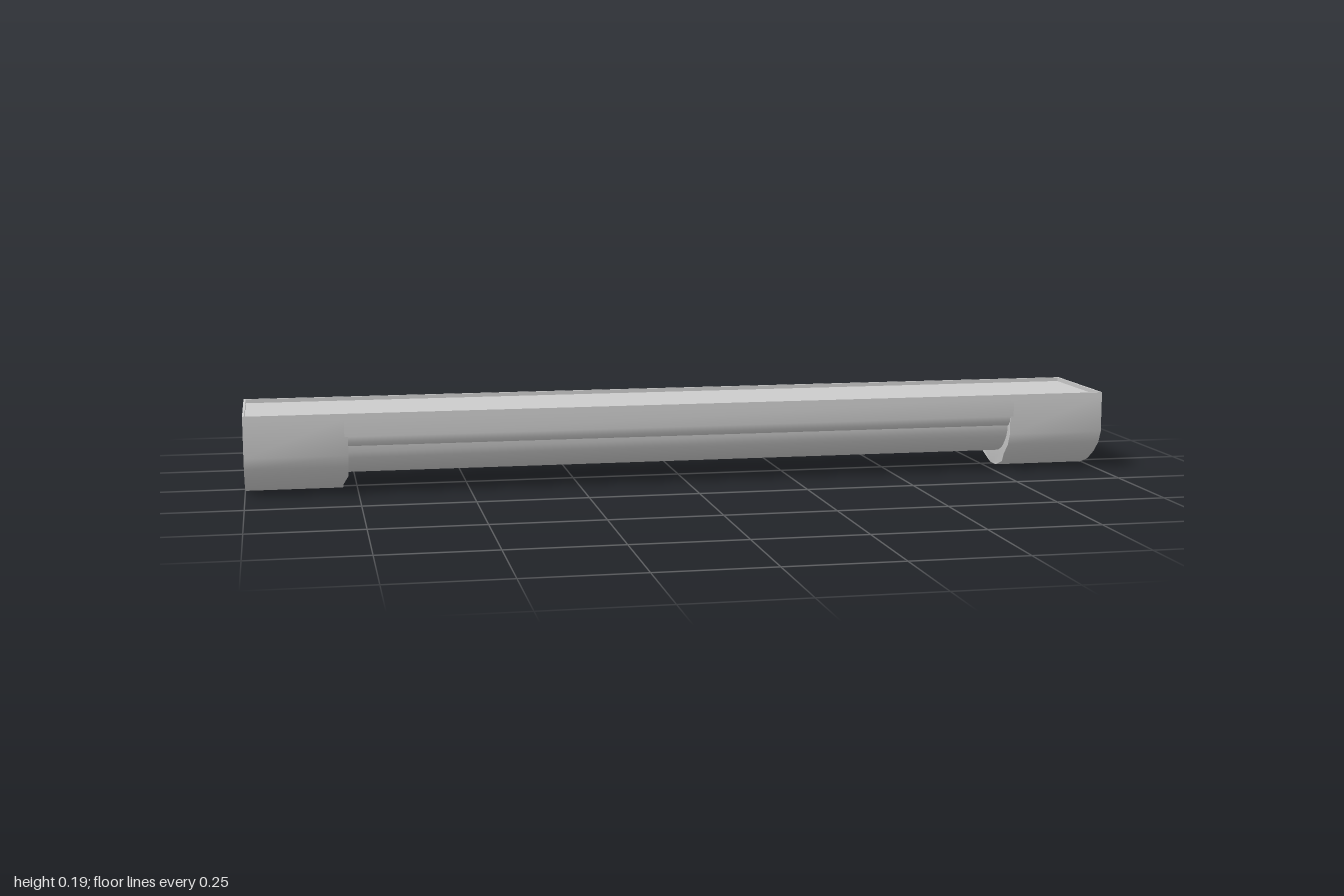
import * as THREE from 'three';
import { toCreasedNormals } from 'three/addons/utils/BufferGeometryUtils.js';

const TOP = 0.187, PLATE = 0.178, HALF = 0.138, RIM = 0.005;
const material = new THREE.MeshStandardMaterial({ color: 0xcccccc });

// Mirrors a half profile of [z, y] points and sweeps it along x from x0 to x1
function sweep(half, x0, x1) {
  const mirrored = half.slice().reverse().map(([z, y]) => [-z, y]);
  const shape = new THREE.Shape([...half, ...mirrored].map(([z, y]) => new THREE.Vector2(z, y)));
  const geometry = new THREE.ExtrudeGeometry(shape, { depth: x1 - x0, bevelEnabled: false });
  geometry.rotateY(Math.PI / 2);
  geometry.translate(x0, 0, 0);
  return geometry;
}

function addMesh(parent, name, geometry) {
  const mesh = new THREE.Mesh(geometry, material);
  mesh.name = name;
  parent.add(mesh);
  return mesh;
}

export function createModel() {
  const model = new THREE.Group();
  model.name = 'lightFixture';

  // Long housing with its lower edges tucked in
  const housing = [[HALF, PLATE], [HALF, 0.135], [0.135, 0.122], [0.127, 0.113], [0.115, 0.11]];
  addMesh(model, 'housing', toCreasedNormals(sweep(housing, -0.78, 0.78), 0.8));

  // Half-round diffuser hanging under the housing
  const diffuser = [];
  for (let i = 0; i <= 8; i++) {
    const a = (i / 8) * Math.PI / 2 * 0.97;
    diffuser.push([0.122 * Math.cos(a), 0.112 - 0.077 * Math.sin(a)]);
  }
  addMesh(model, 'diffuser', toCreasedNormals(sweep(diffuser, -0.79, 0.79), 0.8));

  // Rounded end caps, the lower inner edge slightly cut back
  const cap = [[HALF, PLATE], [HALF, 0.093], [0.126, 0.066], [0.1, 0.04], [0.062, 0.015], [0.02, 0]];
  for (const side of [1, -1]) {
    const geometry = side > 0 ? sweep(cap, 0.772, 1) : sweep(cap, -1, -0.772);
    const p = geometry.attributes.position;
    for (let i = 0; i < p.count; i++) {
      if (Math.abs(p.getX(i)) < 0.9 && p.getY(i) < 0.02) p.setX(i, side * 0.782);
    }
    addMesh(model, side > 0 ? 'leftEndCap' : 'rightEndCap', toCreasedNormals(geometry, 0.8));
  }

  // Thin raised rim around the top plate
  const rim = new THREE.Group();
  rim.name = 'topRim';
  model.add(rim);
  const h = TOP - PLATE;
  for (const side of [1, -1]) {
    addMesh(rim, 'longRim', new THREE.BoxGeometry(2, h, RIM))
      .position.set(0, PLATE + h / 2, side * (HALF - RIM / 2));
    addMesh(rim, 'endRim', new THREE.BoxGeometry(RIM, h, 2 * (HALF - RIM)))
      .position.set(side * (1 - RIM / 2), PLATE + h / 2, 0);
  }
  return model;
}
